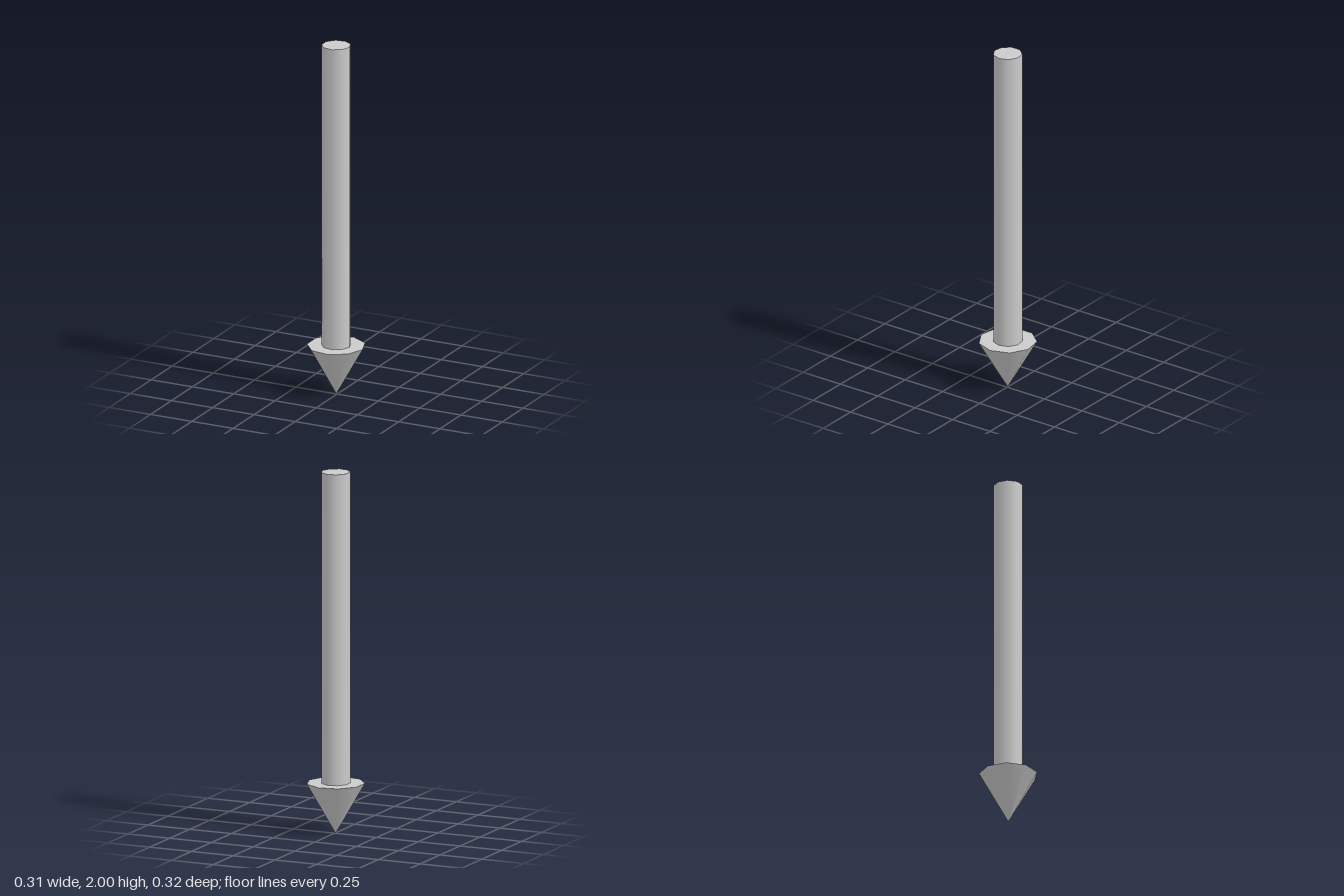
import * as THREE from 'three';

const SIDES = 9;
const AXIS_X = -0.005; // a nine-sided outline is not symmetric in x, so its axis sits off centre

export function createModel() {
  const group = new THREE.Group();
  group.name = 'downArrow';
  const material = new THREE.MeshStandardMaterial({ color: 0xcccccc });

  // Nine-sided prism or cone between two heights, with one corner towards +x
  function addPart(name, topRadius, bottomRadius, y0, y1) {
    const geometry = new THREE.CylinderGeometry(
      topRadius, bottomRadius, y1 - y0, SIDES, 1, false, Math.PI / 2);
    const mesh = new THREE.Mesh(geometry, material);
    mesh.name = name;
    mesh.position.set(AXIS_X, (y0 + y1) / 2, 0);
    group.add(mesh);
  }

  // Long shaft standing on the flat back of the head
  addPart('shaft', 0.08, 0.08, 0.28, 2);

  // Pointed head, tip down
  addPart('arrowHead', 0.16, 0, 0, 0.28);

  return group;
}
